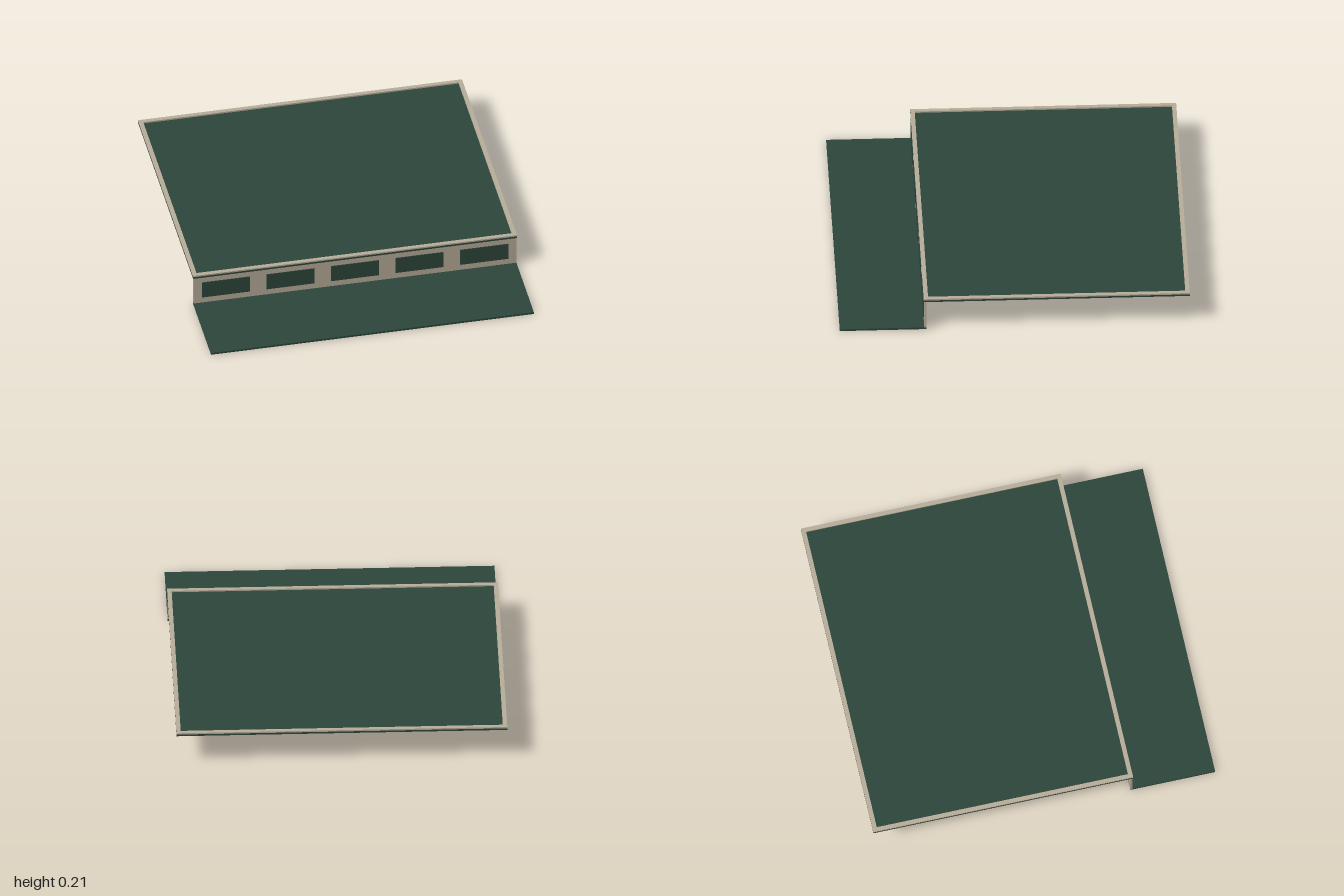
import * as THREE from 'three';

const green = new THREE.MeshStandardMaterial({ color: 0x2d463c });
const beige = new THREE.MeshStandardMaterial({ color: 0xb8ad9a });

// Box given by its minimum and maximum corners
function box(name, material, [x0, y0, z0], [x1, y1, z1]) {
  const mesh = new THREE.Mesh(new THREE.BoxGeometry(x1 - x0, y1 - y0, z1 - z0), material);
  mesh.position.set((x0 + x1) / 2, (y0 + y1) / 2, (z0 + z1) / 2);
  mesh.name = name;
  return mesh;
}

export function createModel() {
  const model = new THREE.Group();
  model.name = 'steppedPlatform';
  const W = 0.945, back = -1, edge = 0.52;

  // Low ground slab, riser wall and raised deck
  model.add(box('lowerSlab', green, [-W + 0.003, 0, 0.505], [W - 0.003, 0.012, 1]));
  model.add(box('riserWall', beige, [-W + 0.003, 0.012, 0.505], [W - 0.003, 0.19, 0.517]));
  model.add(box('upperDeck', green, [-W, 0.19, back], [W, 0.201, edge]));

  // Row of five panels on the wall
  const panels = new THREE.Group();
  panels.name = 'wallPanels';
  for (let i = -2; i <= 2; i++) {
    const x = i * 0.377;
    panels.add(box('wallPanel', green, [x - 0.14, 0.05, 0.511], [x + 0.14, 0.155, 0.521]));
  }
  model.add(panels);

  // Thin raised border around the deck
  const border = new THREE.Shape();
  border.moveTo(-W, -edge).lineTo(W, -edge).lineTo(W, -back).lineTo(-W, -back).closePath();
  const t = 0.025, hole = new THREE.Path();
  hole.moveTo(-W + t, -edge + t).lineTo(-W + t, -back - t).lineTo(W - t, -back - t).lineTo(W - t, -edge + t).closePath();
  border.holes.push(hole);
  const trim = new THREE.Mesh(
    new THREE.ExtrudeGeometry(border, { depth: 0.009, bevelEnabled: false }).rotateX(-Math.PI / 2), beige);
  trim.position.y = 0.201;
  trim.name = 'deckBorder';
  model.add(trim);

  return model;
}
